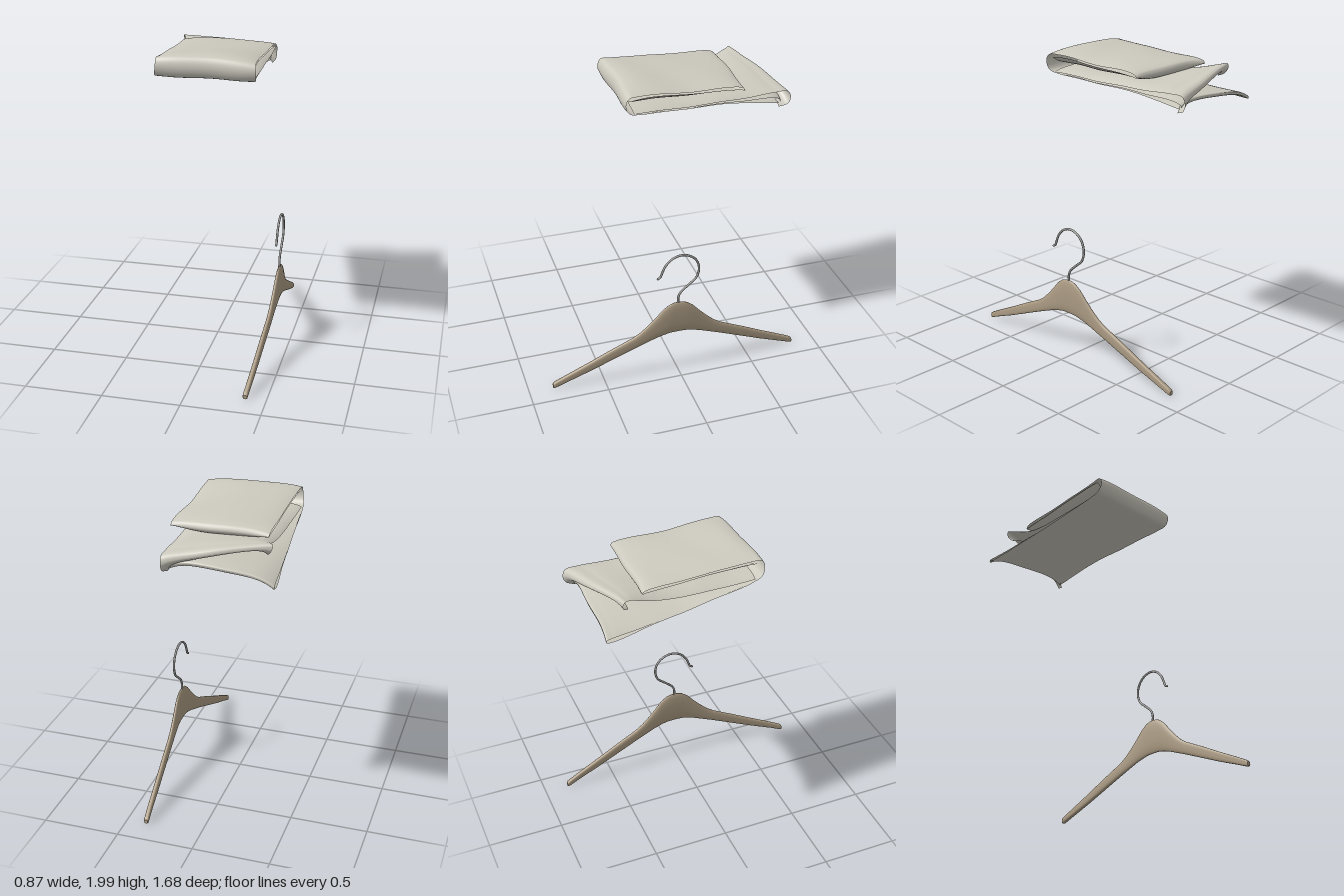
import * as THREE from 'three';

// Smooth surface through a grid of points; closed joins the end of each row to its start
function gridGeometry(rows, closed) {
  const n = rows[0].length, pos = [], idx = [];
  rows.forEach(r => r.forEach(p => pos.push(...p)));
  for (let i = 0; i < rows.length - 1; i++) {
    for (let j = 0; j < (closed ? n : n - 1); j++) {
      const k = (j + 1) % n;
      const a = i * n + j, b = i * n + k, c = (i + 1) * n + k, d = (i + 1) * n + j;
      idx.push(a, b, c, a, c, d);
    }
  }
  const g = new THREE.BufferGeometry();
  g.setAttribute('position', new THREE.Float32BufferAttribute(pos, 3));
  g.setIndex(idx);
  g.computeVertexNormals();
  return g;
}

// Rounded upright section at depth z; power below 1 squares the corners
function ring(cx, cy, rx, ry, z, power, n = 32) {
  return Array.from({ length: n }, (_, j) => {
    const a = j / n * Math.PI * 2, c = Math.cos(a), s = Math.sin(a);
    return [cx + rx * Math.sign(c) * Math.abs(c) ** power,
      cy + ry * Math.sign(s) * Math.abs(s) ** power, z];
  });
}

// Doubled end rings keep the cap edges sharp
function capRings(rings) {
  const cap = r => {
    const c = [0, 1, 2].map(k => r.reduce((s, p) => s + p[k], 0) / r.length);
    return r.map(() => [...c]);
  };
  const first = rings[0], last = rings[rings.length - 1];
  return [cap(first), first.map(p => [...p]), ...rings, last.map(p => [...p]), cap(last)];
}

// Cloth sheet from stations: left xyz, right xyz, rise of the middle over the edges
function sheet(stations, power = 4) {
  const curve = k => new THREE.CatmullRomCurve3(
    stations.map(s => new THREE.Vector3(s[k], s[k + 1], s[k + 2])), false, 'centripetal');
  const left = curve(0), right = curve(3), rows = [];
  const NV = 110, NU = 36, last = stations.length - 1;
  for (let i = 0; i <= NV; i++) {
    const t = i / NV, f = t * last, k = Math.min(Math.floor(f), last - 1);
    const a = left.getPoint(t), b = right.getPoint(t);
    const rise = THREE.MathUtils.lerp(stations[k][6], stations[k + 1][6], f - k);
    const row = [];
    for (let j = 0; j <= NU; j++) {
      // columns bunch towards the edges, where the cloth turns
      const w = -Math.cos(j / NU * Math.PI), u = (w + 1) / 2, p = a.clone().lerp(b, u);
      const wave = 0.004 * Math.sin(p.x * 11 + p.z * 7) * Math.sin(p.z * 9 - p.x * 4);
      row.push([p.x, p.y + rise * (1 - w ** power) + wave, p.z + 0.004 * Math.sin(u * 9)]);
    }
    rows.push(row);
  }
  return gridGeometry(rows, false);
}

export function createModel() {
  const group = new THREE.Group();
  const mat = (name, color, side = THREE.FrontSide) => {
    const m = new THREE.MeshStandardMaterial({ color, side });
    m.name = name;
    return m;
  };
  const wood = mat('wood', 0xac9c84);
  const metal = mat('metal', 0x9a9996);
  const fabric = mat('fabric', 0xccc9be, THREE.DoubleSide);
  const add = (name, geo, material) => {
    const mesh = new THREE.Mesh(geo, material);
    mesh.name = name;
    group.add(mesh);
  };

  // Hanger body: distance from centre, top, bottom, middle x, half thickness
  const half = [
    [0, 0.54, 0.308, 0.419, 0.018], [0.03, 0.537, 0.308, 0.419, 0.018],
    [0.06, 0.526, 0.306, 0.419, 0.018], [0.1, 0.497, 0.297, 0.418, 0.017],
    [0.15, 0.44, 0.282, 0.415, 0.016], [0.2, 0.388, 0.262, 0.412, 0.015],
    [0.25, 0.342, 0.242, 0.409, 0.015], [0.3, 0.308, 0.222, 0.406, 0.015],
    [0.45, 0.235, 0.158, 0.396, 0.015], [0.6, 0.158, 0.094, 0.386, 0.015],
    [0.75, 0.084, 0.035, 0.376, 0.015], [0.82, 0.048, 0.006, 0.37, 0.015],
    [0.835, 0.038, 0.002, 0.369, 0.015], [0.841, 0.03, 0.004, 0.369, 0.012],
  ];
  const all = [...half.slice(1).reverse().map(([z, ...r]) => [-z, ...r]), ...half];
  add('hangerBody', gridGeometry(capRings(all.map(([z, top, bottom, x, r]) =>
    ring(x, (top + bottom) / 2, r, (top - bottom) / 2, z, 0.9 - 0.4 * Math.abs(z)))), true), wood);

  // Hook wire: z, y
  const wire = [[0, 0.53], [0, 0.575], [-0.015, 0.61], [-0.07, 0.66], [-0.12, 0.705],
    [-0.138, 0.77], [-0.12, 0.835], [-0.075, 0.876], [-0.015, 0.891], [0.045, 0.872],
    [0.09, 0.825], [0.112, 0.775], [0.123, 0.75], [0.138, 0.742]];
  const path = new THREE.CatmullRomCurve3(wire.map(([z, y]) => new THREE.Vector3(0.418, y, z)));
  add('hook', new THREE.TubeGeometry(path, 90, 0.0075, 10), metal);
  const tip = new THREE.SphereGeometry(0.0075, 10, 8);
  tip.translate(0.418, 0.742, 0.138);
  add('hookTip', tip, metal);

  // Outer cloth: runs forward underneath, rolls over the front, back along the top,
  // then tucks under and forward again with its edges meeting the top
  add('outerCloth', sheet([
    [-0.4, 1.725, -0.715, 0.18, 1.765, -0.7, 0.05],
    [-0.432, 1.71, -0.74, 0.2, 1.755, -0.73, 0.05],
    [-0.405, 1.745, -0.45, 0.22, 1.8, -0.45, 0.012],
    [-0.37, 1.79, -0.1, 0.25, 1.822, -0.1, 0],
    [-0.345, 1.838, 0.21, 0.28, 1.84, 0.2, 0],
    [-0.335, 1.865, 0.285, 0.3, 1.865, 0.275, -0.005],
    [-0.325, 1.92, 0.305, 0.305, 1.92, 0.295, 0],
    [-0.325, 1.965, 0.285, 0.3, 1.96, 0.275, 0.014],
    [-0.32, 1.97, 0.21, 0.293, 1.965, 0.2, 0.025],
    [-0.32, 1.952, -0.1, 0.283, 1.944, -0.1, 0.026],
    [-0.325, 1.93, -0.46, 0.288, 1.93, -0.445, 0.016],
    [-0.322, 1.912, -0.475, 0.288, 1.912, -0.46, 0.002],
    [-0.322, 1.916, -0.44, 0.286, 1.916, -0.43, -0.032],
    [-0.318, 1.94, -0.1, 0.283, 1.935, -0.1, -0.058],
    [-0.318, 1.955, 0.18, 0.29, 1.95, 0.17, -0.07],
    [-0.32, 1.95, 0.26, 0.293, 1.945, 0.25, -0.06],
  ]), fabric);

  // Middle cloth: skewed layer sticking out behind, curling down at its rear edge
  add('middleCloth', sheet([
    [-0.333, 1.852, 0.24, 0.282, 1.85, 0.24, 0.02],
    [-0.335, 1.842, -0.1, 0.26, 1.838, -0.1, 0.034],
    [-0.34, 1.865, -0.42, 0.25, 1.838, -0.42, 0.034],
    [-0.365, 1.92, -0.57, 0.24, 1.845, -0.68, 0.012],
    [-0.385, 1.925, -0.605, 0.236, 1.84, -0.77, 0.01],
    [-0.38, 1.895, -0.615, 0.233, 1.8, -0.79, 0.02],
    [-0.36, 1.865, -0.6, 0.23, 1.755, -0.775, 0.04],
    [-0.34, 1.85, -0.57, 0.215, 1.733, -0.72, 0.06],
  ], 6), fabric);

  // Lower layer: upper face of the bottom fold, sloping up from the left edge
  add('lowerLayer', sheet([
    [-0.343, 1.842, 0.22, 0.28, 1.842, 0.22, 0.006],
    [-0.37, 1.793, -0.1, 0.252, 1.826, -0.1, 0.02],
    [-0.405, 1.752, -0.45, 0.232, 1.815, -0.45, 0.035],
    [-0.428, 1.735, -0.69, 0.212, 1.795, -0.69, 0.045],
    [-0.434, 1.725, -0.74, 0.202, 1.775, -0.735, 0.05],
    [-0.432, 1.71, -0.74, 0.2, 1.755, -0.73, 0.05],
  ]), fabric);

  return group;
}
